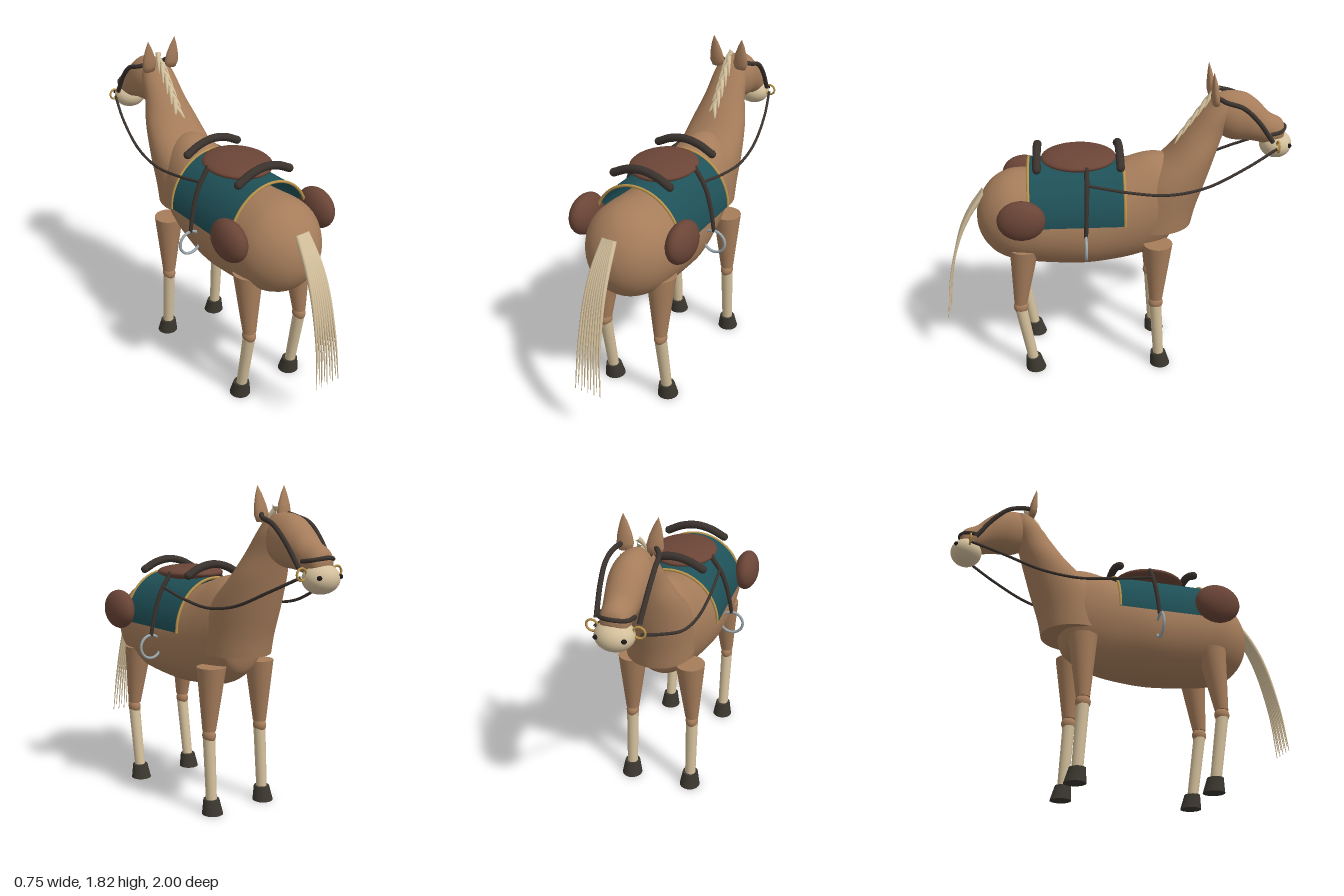
import * as THREE from 'three';

const mat = (name, color, side = THREE.FrontSide) => {
  const m = new THREE.MeshStandardMaterial({ color, side });
  m.name = name;
  return m;
};
const V = (x, y, z) => new THREE.Vector3(x, y, z);

export function createModel() {
  const coat = mat('coat brown', 0xa67d5b);
  const cream = mat('cream hair', 0xd3bf9b);
  const hoofMat = mat('hoof charcoal', 0x3b372f);
  const teal = mat('blanket teal', 0x1f5158, THREE.DoubleSide);
  const gold = mat('gold trim', 0xb8924a);
  const leather = mat('saddle leather', 0x6b4537);
  const strap = mat('dark strap', 0x3a322d);
  const steel = mat('steel', 0x9ba7ad);
  const black = mat('nostril black', 0x1c1a18);

  const horse = new THREE.Group();
  horse.name = 'saddledHorse';

  const add = (name, geo, material, pos = [0, 0, 0], scale = [1, 1, 1], parent = horse) => {
    const m = new THREE.Mesh(geo, material);
    m.name = name;
    m.position.set(...pos);
    m.scale.set(...scale);
    parent.add(m);
    return m;
  };
  const ball = (name, material, pos, radii, parent) =>
    add(name, new THREE.SphereGeometry(1, 32, 20), material, pos, radii, parent);
  const path = (points) => new THREE.CatmullRomCurve3(points.map((p) => V(...p)));

  // Tube along points, with round ends optional taper to the given end radius
  const tube = (name, material, points, r0, r1 = r0, parent = horse, segs = 32) => {
    const curve = path(points), sides = 10;
    const geo = new THREE.TubeGeometry(curve, segs, r0, sides);
    const pos = geo.attributes.position, v = V(0, 0, 0);
    for (let i = 0; i <= segs; i++) {
      const c = curve.getPointAt(i / segs), k = 1 + (r1 / r0 - 1) * (i / segs);
      for (let j = 0; j <= sides; j++) {
        const n = i * (sides + 1) + j;
        v.fromBufferAttribute(pos, n).sub(c).multiplyScalar(k).add(c);
        pos.setXYZ(n, v.x, v.y, v.z);
      }
    }
    return add(name, geo, material, [0, 0, 0], [1, 1, 1], parent);
  };

  // Smooth elliptical loft; rows are [station, low, high, halfWidth]
  const loft = (name, rows, alongZ, material) => {
    const span = path(rows.map((r) => [r[0], r[1], r[2]]));
    const width = path(rows.map((r) => [r[0], 0, r[3]]));
    span.curveType = width.curveType = 'catmullrom';
    const n = (rows.length - 1) * 5, sides = 40, verts = [], index = [];
    for (let i = 0; i <= n; i++) {
      const s = span.getPoint(i / n), w = Math.max(0, width.getPoint(i / n).z);
      for (let j = 0; j < sides; j++) {
        const t = (j / sides) * Math.PI * 2;
        const x = w * Math.cos(t), u = (s.y + s.z) / 2 + ((s.z - s.y) / 2) * Math.sin(t);
        verts.push(x, alongZ ? u : s.x, alongZ ? s.x : u);
        if (i === n) continue;
        const a = i * sides + j, b = i * sides + ((j + 1) % sides);
        index.push(a, a + sides, b, b, a + sides, b + sides);
      }
    }
    const geo = new THREE.BufferGeometry();
    geo.setAttribute('position', new THREE.Float32BufferAttribute(verts, 3));
    geo.setIndex(index);
    geo.computeVertexNormals();
    return add(name, geo, material);
  };

  // Barrel, rump to withers
  loft('body', [
    [0.785, 0.965, 0.965, 0], [0.775, 0.89, 1.04, 0.068], [0.74, 0.815, 1.12, 0.14],
    [0.68, 0.75, 1.19, 0.2], [0.6, 0.712, 1.232, 0.243], [0.5, 0.69, 1.24, 0.258],
    [0.32, 0.672, 1.225, 0.262], [0.15, 0.666, 1.23, 0.258], [-0.05, 0.682, 1.29, 0.225],
    [-0.18, 0.712, 1.33, 0.2], [-0.27, 0.76, 1.33, 0.178], [-0.33, 0.83, 1.29, 0.14], [-0.38, 1.05, 1.05, 0],
  ], true, coat);

  // Neck and chest, with a flat underside
  loft('neck', [
    [0.905, -0.452, -0.05, 0.188], [1.02, -0.477, -0.07, 0.19], [1.18, -0.528, -0.13, 0.19],
    [1.34, -0.575, -0.295, 0.162], [1.47, -0.615, -0.395, 0.122], [1.58, -0.66, -0.475, 0.102],
    [1.65, -0.66, -0.53, 0.08],
  ], false, coat);
  add('chestUnderside', new THREE.CircleGeometry(1, 40).rotateX(Math.PI / 2), coat,
    [0, 0.905, -0.251], [0.188, 1, 0.201]);

  // Head and muzzle
  loft('head', [
    [-0.525, 1.6, 1.6, 0], [-0.54, 1.53, 1.65, 0.05], [-0.58, 1.45, 1.678, 0.085],
    [-0.65, 1.412, 1.687, 0.104], [-0.73, 1.405, 1.672, 0.102], [-0.8, 1.393, 1.622, 0.09],
    [-0.86, 1.375, 1.56, 0.08], [-0.92, 1.37, 1.528, 0.07], [-0.945, 1.4, 1.5, 0.045], [-0.955, 1.45, 1.45, 0],
  ], true, coat);
  ball('muzzle', cream, [0, 1.373, -0.911], [0.1, 0.077, 0.089]);
  tube('noseband', strap, [[-0.085, 1.458, -0.86], [-0.07, 1.467, -0.92], [0, 1.478, -0.955],
    [0.07, 1.467, -0.92], [0.085, 1.458, -0.86]], 0.011);

  // Ear profile, base to tip
  const ear = new THREE.LatheGeometry([[0, 0], [0.034, 0.005], [0.045, 0.04], [0.037, 0.09],
    [0.02, 0.145], [0, 0.19]].map((p) => new THREE.Vector2(...p)), 20);

  for (const s of [1, -1]) {
    const side = s > 0 ? 'left' : 'right';
    ball(side + 'Nostril', black, [s * 0.07, 1.385, -0.974], [0.014, 0.012, 0.012]);
    const e = add(side + 'Ear', ear, coat, [s * 0.073, 1.635, -0.55], [1, 1, 0.55]);
    e.rotation.set(0.12, 0, -s * 0.09);

    // Bridle, bit ring and rein
    tube(side + 'CheekStrap', strap, [[s * 0.085, 1.68, -0.555], [s * 0.115, 1.662, -0.6], [s * 0.124, 1.632, -0.69],
      [s * 0.12, 1.555, -0.775], [s * 0.108, 1.425, -0.87]], 0.013);
    add(side + 'BitRing', new THREE.TorusGeometry(0.03, 0.006, 10, 28), gold, [s * 0.118, 1.4, -0.9]);
    tube(side + 'Rein', strap, [[s * 0.115, 1.385, -0.895], [s * 0.17, 1.3, -0.72], [s * 0.21, 1.207, -0.5],
      [s * 0.227, 1.176, -0.29], [s * 0.232, 1.2, -0.075], [s * 0.222, 1.245, 0.155]], 0.008, 0.008, horse, 60);

    // Stirrup and saddlebag
    const leatherStrap = tube(side + 'StirrupLeather', strap, [[s * 0.165, 1.325, 0.155], [s * 0.235, 1.215, 0.157],
      [s * 0.275, 1.09, 0.162], [s * 0.298, 0.965, 0.167]], 0.014, 0.011);
    leatherStrap.userData.side = side;
    add(side + 'Stirrup', new THREE.TorusGeometry(0.067, 0.008, 10, 40), steel, [s * 0.3, 0.903, 0.167]);
    ball(side + 'Saddlebag', leather, [s * 0.3, 1.082, 0.516], [0.071, 0.116, 0.132]);

    // Legs: [name, hip z, knee z, fetlock z, hoof z]
    for (const [end, hip, knee, fetlock, toe] of [['Front', -0.245, -0.24, -0.264, -0.275], ['Hind', 0.515, 0.553, 0.497, 0.483]]) {
      const leg = new THREE.Group();
      leg.name = side + end + 'Leg';
      horse.add(leg);
      // Upright frustum whose top is slid over its base
      const limb = (name, m, y0, z0, x0, r0, y1, z1, x1, r1) => {
        const h = y1 - y0, geo = new THREE.CylinderGeometry(r1, r0, h, 28);
        const shear = new THREE.Matrix4().set(1, (s * (x1 - x0)) / h, 0, 0, 0, 1, 0, 0, 0, (z1 - z0) / h, 1, 0, 0, 0, 0, 1);
        geo.applyMatrix4(shear);
        geo.computeBoundingSphere();
        add(name, geo, m, [s * (x0 + x1) / 2, (y0 + y1) / 2, (z0 + z1) / 2], [1, 1, 1], leg);
      };
      limb('upperLeg', coat, 0.475, knee, 0.182, 0.038, 0.84, hip, 0.17, 0.083);
      ball('knee', coat, [s * 0.183, 0.447, knee], [0.036, 0.042, 0.043], leg);
      limb('lowerLeg', cream, 0.07, fetlock, 0.184, 0.031, 0.43, knee, 0.183, 0.035);
      limb('hoof', hoofMat, 0, toe, 0.184, 0.06, 0.083, toe + 0.012, 0.184, 0.045);
    }
  }

  // Saddle blanket: open half-elliptical arch with gold edging
  const blanket = new THREE.CylinderGeometry(1, 1, 0.53, 48, 1, true, -Math.PI / 2, Math.PI);
  blanket.rotateX(-Math.PI / 2);
  add('saddleBlanket', blanket, teal, [0, 1.01, 0.212], [0.27, 0.293, 1]);
  for (const z of [-0.052, 0.477]) {
    const arch = [];
    for (let i = 0; i <= 16; i++) {
      const t = (i / 16) * Math.PI;
      arch.push([0.27 * Math.cos(t), 1.01 + 0.293 * Math.sin(t), z]);
    }
    tube('blanketTrim', gold, arch, 0.008, 0.008, horse, 48);
  }

  // Saddle seat with pommel and cantle rolls
  ball('saddleSeat', leather, [0, 1.318, 0.195], [0.184, 0.043, 0.21]);
  for (const [name, z] of [['pommel', -0.03], ['cantle', 0.425]]) {
    const ends = [-0.172, 0.172];
    tube(name, strap, [[ends[0], 1.323, z], [-0.09, 1.362, z], [0, 1.378, z], [0.09, 1.362, z], [ends[1], 1.323, z]], 0.023);
    for (const x of ends) ball(name + 'End', strap, [x, 1.323, z], [0.023, 0.023, 0.023]);
  }

  // Mane: overlapping tufts alternating down the crest
  const mane = new THREE.Group();
  mane.name = 'mane';
  horse.add(mane);
  for (let i = 0; i < 10; i++) {
    const k = i / 9, s = i % 2 ? 1 : -1;
    const y = 1.71 - 0.27 * k, z = -0.565 + 0.185 * k;
    tube('maneTuft', cream, [[-s * 0.006, y + 0.015, z - 0.01], [s * 0.014, y - 0.025, z + 0.022],
      [s * 0.03, y - 0.085, z + 0.05]], 0.017, 0.002, mane, 10);
  }

  // Tail: fanned tapering strands
  const tail = new THREE.Group();
  tail.name = 'tail';
  horse.add(tail);
  for (let i = 0; i < 9; i++) {
    const f = i / 4 - 1, drop = i % 2 ? 0.03 : 0;
    tube('tailStrand', cream, [[f * 0.03, 1.12, 0.735], [f * 0.045, 0.99, 0.825], [f * 0.055, 0.84, 0.895],
      [f * 0.067, 0.56, 0.967], [f * 0.08, 0.31 + drop, 0.998]], 0.015, 0.002, tail, 28);
  }

  return horse;
}
